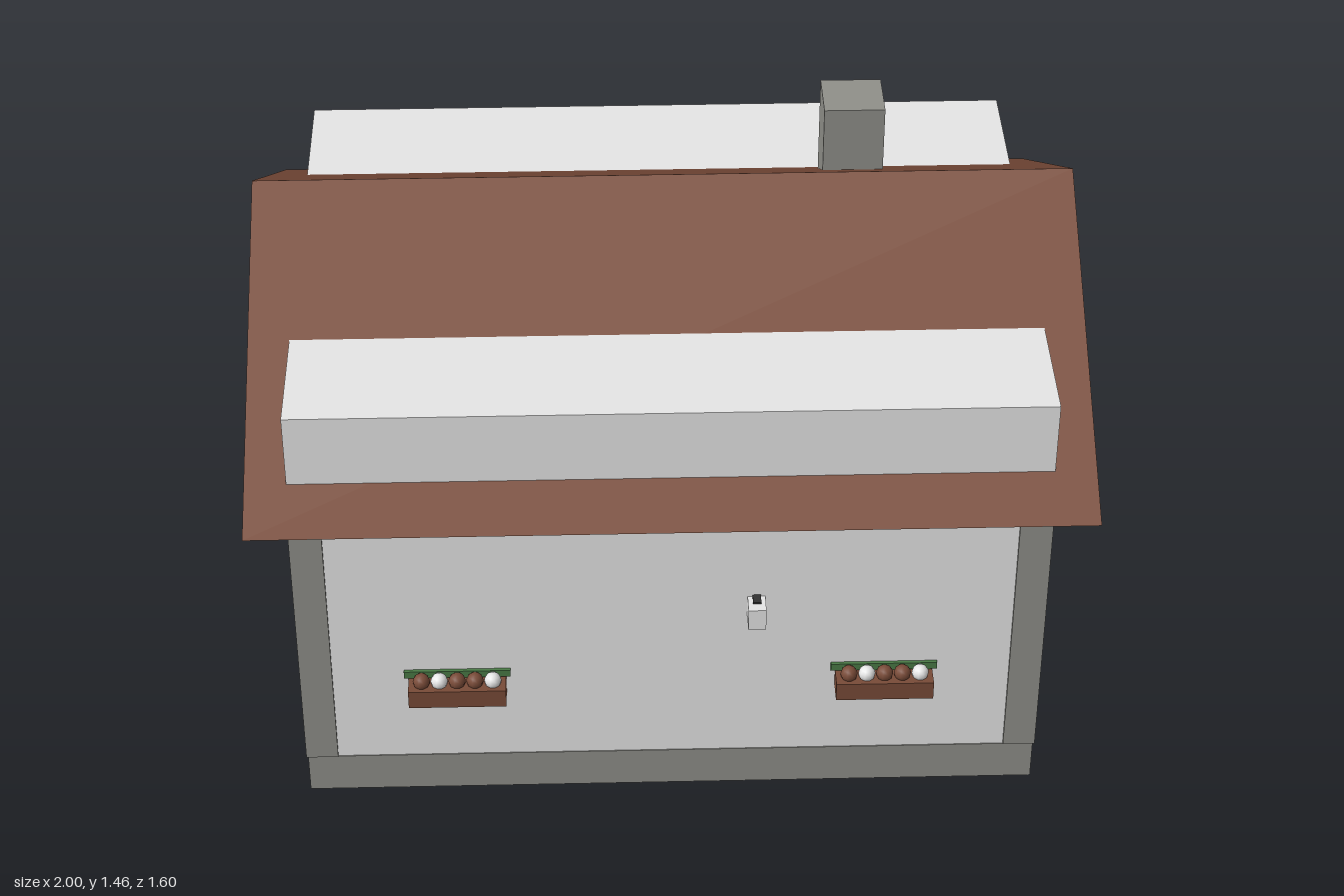
import * as THREE from 'three';

const mat = (name, color) => {
  const m = new THREE.MeshStandardMaterial({ color });
  m.name = name;
  return m;
};

export function createModel() {
  const house = new THREE.Group();
  house.name = 'house';
  const plaster = mat('plaster', 0xe8e8e8);
  const stone = mat('stone', 0x90908a);
  const tile = mat('roofTile', 0x794b38);
  const green = mat('leafGreen', 0x4a7a46);
  const iron = mat('iron', 0x333333);

  // Box given by its minimum and maximum corners
  const box = (name, material, [x0, y0, z0], [x1, y1, z1], parent = house) => {
    const mesh = new THREE.Mesh(new THREE.BoxGeometry(x1 - x0, y1 - y0, z1 - z0), material);
    mesh.position.set((x0 + x1) / 2, (y0 + y1) / 2, (z0 + z1) / 2);
    mesh.name = name;
    parent.add(mesh);
    return mesh;
  };

  // Full-height wall block with a plinth wrapped closely around its foot
  box('walls', plaster, [-0.901, 0, -0.683], [0.901, 1.153, 0.683]);
  box('plinth', stone, [-0.903, 0.002, -0.685], [0.903, 0.11, 0.685]);

  // Corner pilasters
  for (const sx of [-1, 1]) {
    for (const sz of [-1, 1]) {
      const post = box('cornerPilaster', stone, [0.828, 0.112, 0.613], [0.907, 0.895, 0.69]);
      post.position.x *= sx;
      post.position.z *= sz;
    }
  }

  // Gable roof, a triangular prism along x
  const gable = new THREE.Shape([
    new THREE.Vector2(-0.802, 0.894),
    new THREE.Vector2(0.802, 0.894),
    new THREE.Vector2(0, 1.37),
  ]);
  const roofGeometry = new THREE.ExtrudeGeometry(gable, { depth: 2, bevelEnabled: false });
  roofGeometry.translate(0, 0, -1).rotateY(Math.PI / 2);
  const roof = new THREE.Mesh(roofGeometry, tile);
  roof.name = 'roof';
  house.add(roof);

  box('chimney', stone, [0.4, 1.1, -0.291], [0.55, 1.456, -0.145]);

  // Green sills on the right-hand and back walls
  for (const z of [-0.307, 0.307]) {
    box('sideSill', green, [0.89, 0.367, z - 0.129], [0.91, 0.387, z + 0.129]);
  }
  box('backSill', green, [-0.13, 0.367, -0.692], [0.13, 0.387, -0.67]);

  // Front sills with flower boxes
  const bloom = new THREE.SphereGeometry(0.021, 10, 8);
  for (const x of [-0.523, 0.52]) {
    const planter = new THREE.Group();
    planter.name = 'windowPlanter';
    planter.position.x = x;
    house.add(planter);
    box('frontSill', green, [-0.13, 0.367, 0.67], [0.13, 0.387, 0.692], planter);
    box('flowerBox', tile, [-0.119, 0.314, 0.68], [0.119, 0.364, 0.741], planter);
    [tile, plaster, tile, tile, plaster].forEach((material, i) => {
      const flower = new THREE.Mesh(bloom, material);
      flower.name = 'flower';
      flower.position.set((i - 2) * 0.0435, 0.375, 0.713);
      planter.add(flower);
    });
  }

  // Wall lantern with its small bracket
  box('lantern', plaster, [0.183, 0.541, 0.68], [0.226, 0.6, 0.737]);
  box('lanternBracket', iron, [0.195, 0.599, 0.68], [0.215, 0.605, 0.712]);

  return house;
}
